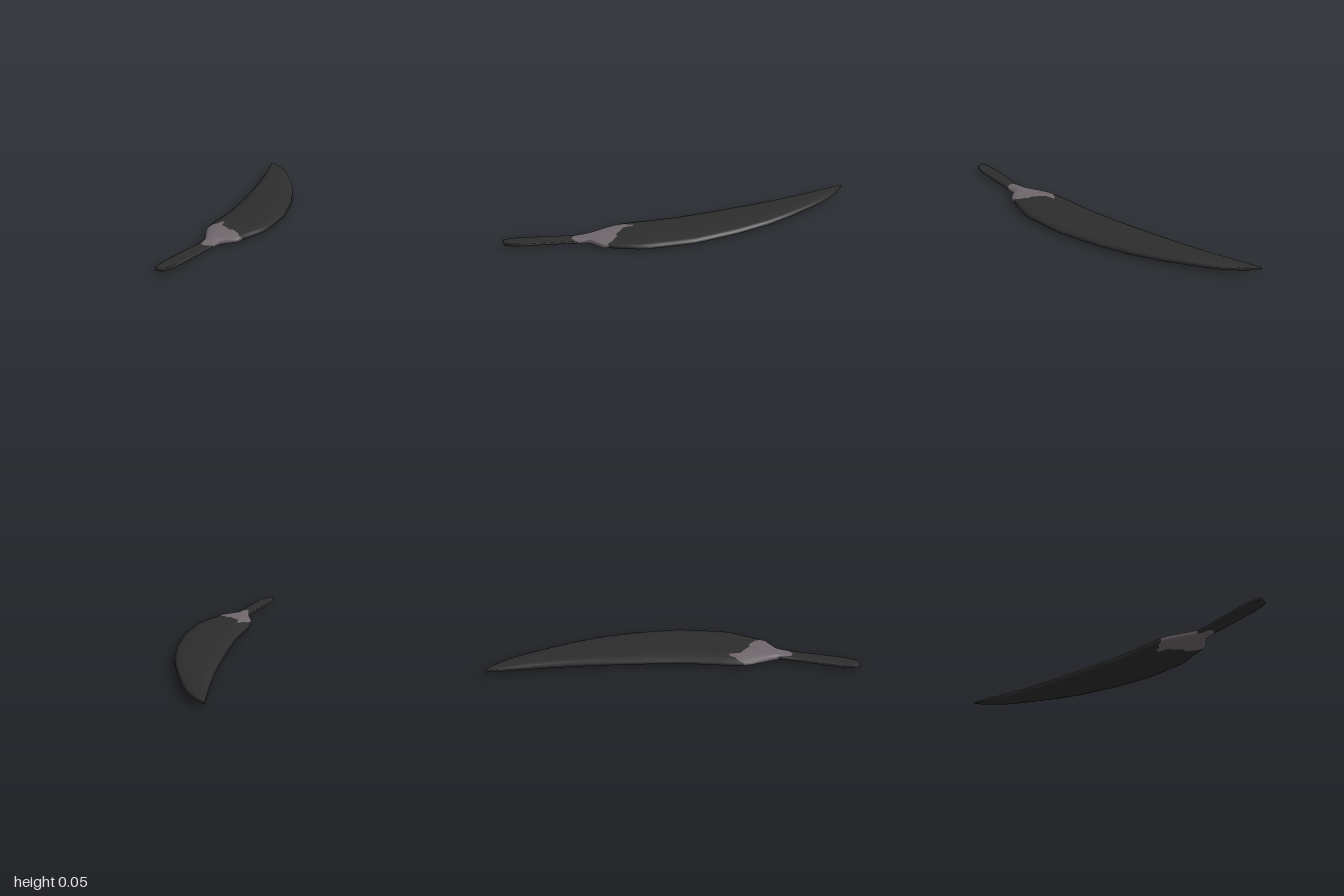
import * as THREE from 'three';

// Stations from tip to quill end: z, left x, right x, centre y, half thickness at middle, at rim
const STATIONS = [
  [-1.00, -0.160, -0.154, 0.034, 0.006, 0.005],
  [-0.96, -0.156, -0.115, 0.033, 0.009, 0.006],
  [-0.87, -0.146, -0.050, 0.031, 0.014, 0.007],
  [-0.76, -0.133, 0.000, 0.028, 0.019, 0.008],
  [-0.55, -0.115, 0.080, 0.026, 0.021, 0.009],
  [-0.40, -0.109, 0.125, 0.025, 0.022, 0.009],
  [-0.20, -0.105, 0.162, 0.024, 0.022, 0.009],
  [0.05, -0.106, 0.183, 0.023, 0.022, 0.009],
  [0.20, -0.122, 0.166, 0.023, 0.023, 0.009],
  [0.32, -0.136, 0.152, 0.023, 0.023, 0.009],
  [0.41, -0.136, 0.110, 0.023, 0.022, 0.009],
  [0.52, -0.104, 0.060, 0.023, 0.020, 0.009],
  [0.57, -0.090, -0.010, 0.023, 0.018, 0.008],
  [0.64, -0.106, -0.030, 0.022, 0.009, 0.005],
  [0.92, -0.181, -0.098, 0.022, 0.008, 0.005],
  [0.96, -0.183, -0.112, 0.022, 0.009, 0.006],
  [1.00, -0.183, -0.135, 0.022, 0.009, 0.007],
];

// Columns across the width: u, rim-to-middle thickness blend, start and end z of the downy patch
const COLUMNS = [
  [0, 0, 0.38, 0.575], [0.06, 0.45, 0.35, 0.58], [0.13, 0.75, 0.34, 0.60], [0.17, 0.85, 0.31, 0.61],
  [0.23, 0.95, 0.31, 0.63], [0.27, 1, 0.37, 0.64], [0.40, 1, 0.395, 0.65], [0.52, 1, 0.425, 0.65],
  [0.62, 0.95, 0.425, 0.655], [0.72, 0.85, 0.445, 0.65], [0.82, 0.6, 0.46, 0.645],
  [0.92, 0.28, 0.485, 0.64], [1, 0, 0.49, 0.63],
];

// Rows in each part along the length
const ROWS = { vane: 30, down: 10, quill: 8 };

function stationAt(z) {
  let i = 0;
  while (i < STATIONS.length - 2 && z > STATIONS[i + 1][0]) i++;
  const a = STATIONS[i], b = STATIONS[i + 1];
  const t = (z - a[0]) / (b[0] - a[0]);
  return a.map((v, k) => THREE.MathUtils.lerp(v, b[k], t));
}

export function createModel() {
  const group = new THREE.Group();
  group.name = 'feather';
  const charcoal = new THREE.MeshStandardMaterial({ color: 0x2e2d2d });
  charcoal.name = 'charcoal';
  const downGrey = new THREE.MeshStandardMaterial({ color: 0x6f676c });
  downGrey.name = 'down grey';

  const n = COLUMNS.length, ring = n * 2;
  const positions = [];
  const indices = { vane: [], down: [], quill: [] };

  // Closed cross-sections: upper face left to right, lower face right to left
  const addRow = (zOf) => {
    for (let k = 0; k < ring; k++) {
      const column = COLUMNS[k < n ? k : ring - 1 - k];
      const z = zOf(column);
      const [, left, right, y, mid, rim] = stationAt(z);
      const half = THREE.MathUtils.lerp(rim, mid, column[1]);
      positions.push(THREE.MathUtils.lerp(left, right, column[0]), y + (k < n ? half : -half), z);
    }
  };

  // Parts meet along the ragged edges of the downy patch
  const bounds = [() => -1, (c) => c[2], (c) => c[3], () => 1];
  addRow(bounds[0]);
  let row = 0;
  Object.keys(ROWS).forEach((part, p) => {
    for (let i = 1; i <= ROWS[part]; i++, row++) {
      addRow((c) => THREE.MathUtils.lerp(bounds[p](c), bounds[p + 1](c), i / ROWS[part]));
      for (let k = 0; k < ring; k++) {
        const a = row * ring + k, b = row * ring + (k + 1) % ring;
        indices[part].push(a, a + ring, b, b, a + ring, b + ring);
      }
    }
  });

  // Blunt ends
  for (let k = 0; k < n - 1; k++) {
    const t = k, b = ring - 1 - k, e = row * ring;
    indices.vane.push(t, t + 1, b, t + 1, b - 1, b);
    indices.quill.push(e + t, e + b, e + t + 1, e + t + 1, e + b, e + b - 1);
  }

  // Normals are found on the whole shape so the parts blend smoothly
  const whole = new THREE.BufferGeometry();
  whole.setAttribute('position', new THREE.Float32BufferAttribute(positions, 3));
  whole.setIndex(Object.values(indices).flat());
  whole.computeVertexNormals();

  for (const part of Object.keys(ROWS)) {
    const geometry = whole.clone().setIndex(indices[part]).toNonIndexed();
    const mesh = new THREE.Mesh(geometry, part === 'down' ? downGrey : charcoal);
    mesh.name = part;
    group.add(mesh);
  }
  return group;
}
